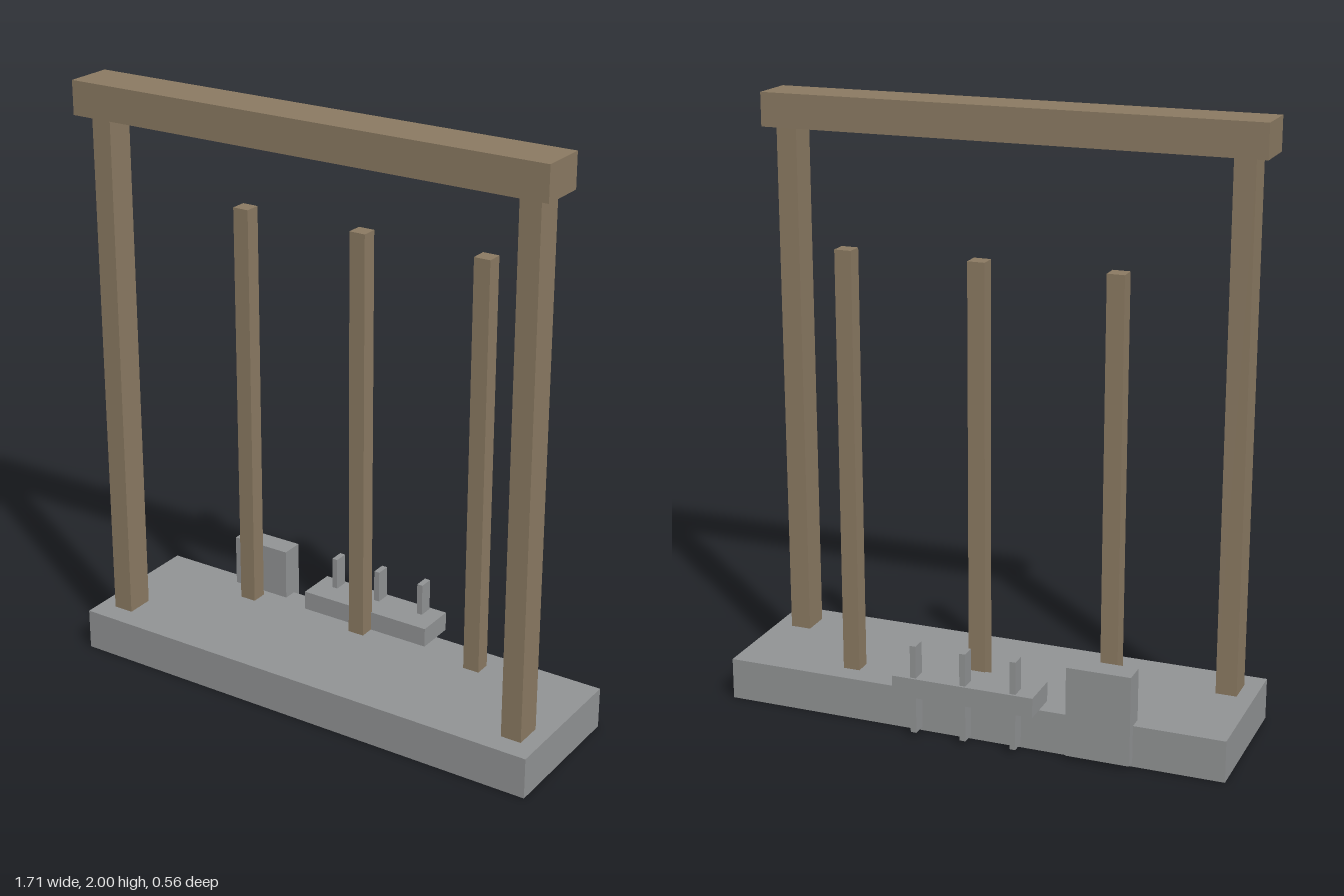
import * as THREE from 'three';

export function createModel() {
  const model = new THREE.Group();
  const wood = new THREE.MeshStandardMaterial({ color: 0x8b7a62 });
  wood.name = 'wood';
  const stone = new THREE.MeshStandardMaterial({ color: 0x919394 });
  stone.name = 'stone';

  // Box from its ranges along x, y and z
  function block(name, material, [x0, x1], [y0, y1], [z0, z1]) {
    const mesh = new THREE.Mesh(new THREE.BoxGeometry(x1 - x0, y1 - y0, z1 - z0), material);
    mesh.position.set((x0 + x1) / 2, (y0 + y1) / 2, (z0 + z1) / 2);
    mesh.name = name;
    model.add(mesh);
  }
  const around = (c, w) => [c - w / 2, c + w / 2];

  // Slab and the gate frame standing on it
  block('base', stone, [-0.855, 0.855], [0, 0.14], [-0.219, 0.28]);
  block('topBeam', wood, [-0.84, 0.84], [1.888, 2], [0.085, 0.245]);
  for (const side of [-1, 1]) {
    block(side < 0 ? 'rightPost' : 'leftPost', wood, around(side * 0.763, 0.07), [0.14, 1.888], [0.11, 0.206]);
  }

  // Row of slim poles behind the gate
  for (const x of [-0.448, 0, 0.448]) {
    block('slimPole', wood, around(x, 0.057), [0.14, 1.56], [-0.147, -0.092]);
  }

  // Rear shelf with pegs through it, and the box beside it
  block('rearShelf', stone, [-0.241, 0.241], [0.14, 0.206], [-0.28, -0.142]);
  for (const x of [-0.171, 0, 0.171]) {
    block('shelfPeg', stone, around(x, 0.02), [0.014, 0.316], [-0.272, -0.222]);
  }
  block('rearBox', stone, [-0.554, -0.341], [0.014, 0.316], [-0.25, -0.172]);

  return model;
}
